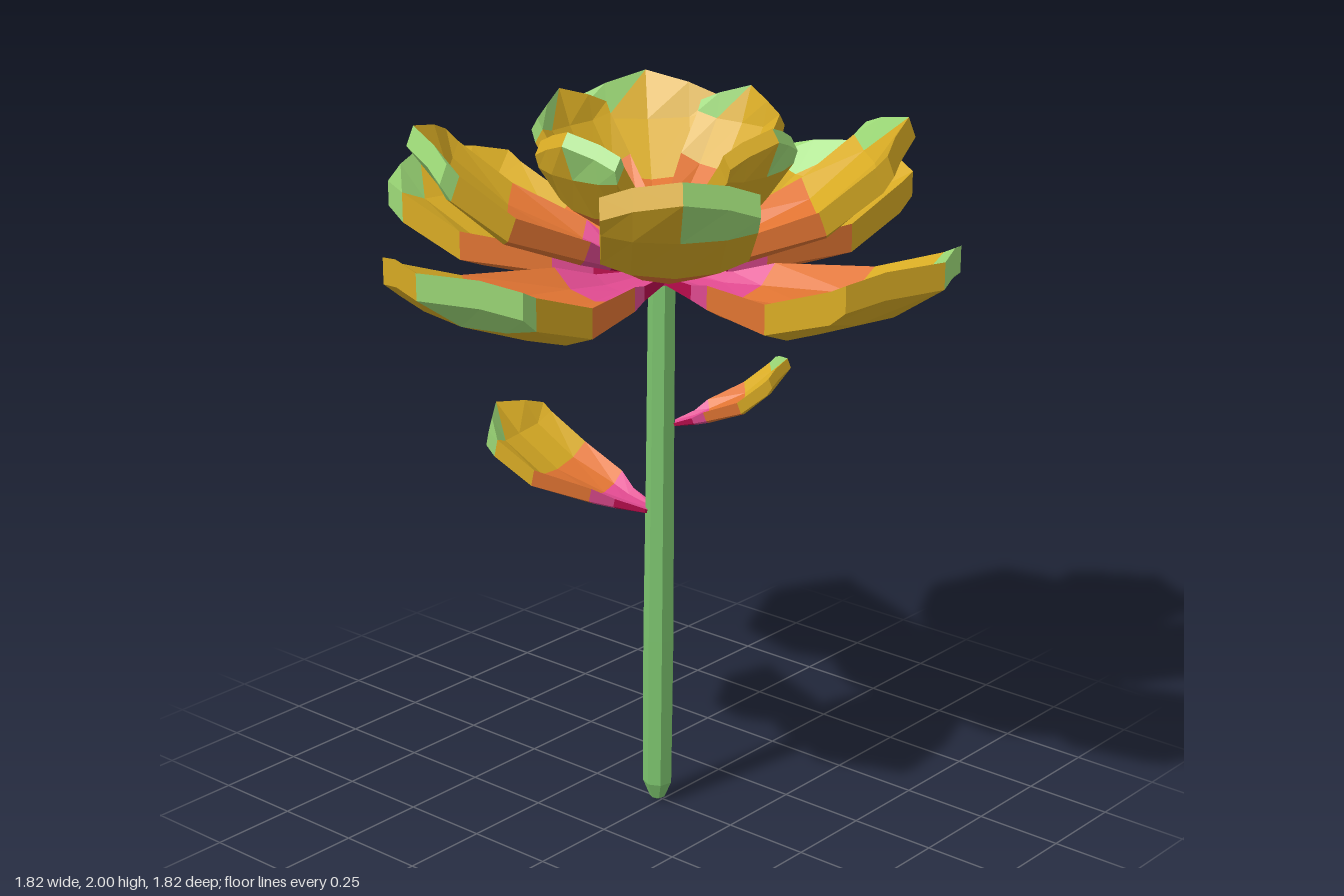
import * as THREE from 'three';

const paint = (name, color) => {
  const m = new THREE.MeshStandardMaterial({ color });
  m.name = name;
  return m;
};
const CRIMSON = 0, PINK = 1, ORANGE = 2, GOLD = 3, TIP = 4;

// Petal stations: z at edge, z at middle, half width, then heights of rim, floor, lower edge, keel
const STATIONS = [
  [0.03, 0.03, 0.04, 0.01, 0.0, -0.01, -0.02],
  [0.17, 0.17, 0.085, 0.02, -0.01, -0.02, -0.05],
  [0.27, 0.27, 0.14, 0.05, -0.015, -0.015, -0.06],
  [0.53, 0.53, 0.228, 0.07, 0.0, -0.01, -0.06],
  [0.74, 0.76, 0.236, 0.145, 0.095, 0.06, 0.03],
  [0.79, 0.91, 0.24, 0.17, 0.2, 0.1, 0.13],
];

// Ten-point ring: top middle, round the +x side to the keel, back up the -x side
function section([zEdge, zMid, w, rim, floor, low, keel]) {
  const point = (t, edgeY, midY, k) => [t * w, THREE.MathUtils.lerp(edgeY, midY, k), THREE.MathUtils.lerp(zMid, zEdge, t)];
  const half = [
    point(0, rim, floor, 1), point(0.6, rim, floor, 0.75), point(1, rim, floor, 0),
    point(1, low, keel, 0), point(0.6, low, keel, 0.7), point(0, low, keel, 1),
  ];
  const mirrored = half.slice(1, 5).reverse().map(([x, y, z]) => [-x, y, z]);
  return [...half, ...mirrored];
}

function petalGeometry() {
  const rings = STATIONS.map(section);
  const buckets = [[], [], [], [], []];
  const tri = (colour, ...pts) => buckets[colour].push(...pts.flat());
  const topBands = [PINK, PINK, ORANGE, GOLD, GOLD];
  const underBands = [CRIMSON, PINK, ORANGE, GOLD, GOLD];

  for (let k = 0; k < 5; k++) {
    for (let i = 0; i < 10; i++) {
      const j = (i + 1) % 10;
      const a = rings[k][i], b = rings[k][j], c = rings[k + 1][j], d = rings[k + 1][i];
      const isTop = i < 2 || i > 7;
      const base = (isTop ? topBands : underBands)[k];
      const green = k === 4 && i < 5; // one half of the tip is green
      tri(green && i > 0 ? TIP : base, a, d, b);
      tri(green ? TIP : base, d, c, b);
    }
  }
  // Blunt tip face, half green and half gold, and the closed base
  const end = rings[5], start = rings[0];
  [[0, 5, 4, 1, TIP], [1, 4, 3, 2, TIP], [9, 6, 5, 0, GOLD], [8, 7, 6, 9, GOLD]].forEach(([a, b, c, d, colour]) => {
    tri(colour, end[a], end[b], end[c]);
    tri(colour, end[a], end[c], end[d]);
    tri(CRIMSON, start[a], start[c], start[b]);
    tri(CRIMSON, start[a], start[d], start[c]);
  });

  const geometry = new THREE.BufferGeometry();
  geometry.setAttribute('position', new THREE.Float32BufferAttribute(buckets.flat(), 3));
  let first = 0;
  buckets.forEach((b, i) => {
    geometry.addGroup(first, b.length / 3, i);
    first += b.length / 3;
  });
  geometry.computeVertexNormals();
  return geometry;
}

const faceted = (geometry) => {
  const flat = geometry.toNonIndexed();
  flat.computeVertexNormals();
  return flat;
};

export function createModel() {
  const flower = new THREE.Group();
  flower.name = 'flower';
  const petalPaints = [
    paint('crimson', 0xb80c4c), paint('pink', 0xe04a90), paint('orange', 0xe07432),
    paint('gold', 0xd8ab24), paint('tipGreen', 0x9edb78),
  ];
  const stemGreen = paint('stemGreen', 0x7cc46e);
  const petal = petalGeometry();

  function addPetal(parent, name, scale, tilt, turn, position) {
    const mesh = new THREE.Mesh(petal, petalPaints);
    mesh.name = name;
    mesh.scale.setScalar(scale);
    mesh.rotation.set(-THREE.MathUtils.degToRad(tilt), turn, 0, 'YXZ');
    mesh.position.set(...position);
    parent.add(mesh);
  }

  // Three whorls of four petals: name, scale, tilt, first turn, height
  [
    ['outerPetal', 1, 0, 0, 1.55],
    ['middlePetal', 0.82, 19.5, Math.PI / 4, 1.56],
    ['innerPetal', 0.57, 34, 0, 1.615],
  ].forEach(([name, scale, tilt, turn, y]) => {
    const whorl = new THREE.Group();
    whorl.name = name + 's';
    for (let i = 0; i < 4; i++) addPetal(whorl, name, scale, tilt, turn + i * Math.PI / 2, [0, y, 0]);
    flower.add(whorl);
  });

  // Two leaves on the stem
  addPetal(flower, 'rightLeaf', 0.6, 12, -1.37, [-0.01, 0.88, 0.02]);
  addPetal(flower, 'leftLeaf', 0.4, 20, 2.15, [0.02, 1.13, -0.01]);

  // Stem with a pointed foot, leaning very slightly
  const profile = [[0, 0], [0.022, 0.012], [0.042, 0.06], [0.044, 0.5], [0.04, 1.0], [0.038, 1.56], [0, 1.56]];
  const stemShape = new THREE.LatheGeometry(profile.map(([r, y]) => new THREE.Vector2(r, y)), 7);
  const p = stemShape.attributes.position;
  for (let i = 0; i < p.count; i++) {
    const lean = 1 - p.getY(i) / 1.56;
    p.setX(i, p.getX(i) - 0.008 * lean - 0.003);
    p.setZ(i, p.getZ(i) + 0.012 * lean - 0.003);
  }
  const stem = new THREE.Mesh(faceted(stemShape), stemGreen);
  stem.name = 'stem';
  flower.add(stem);

  // Flower centre: pink cup, orange bud, gold cap
  [
    ['centreCup', 0.09, 0.05, 1.53, 1.61, PINK],
    ['centreBud', 0.07, 0.07, 1.6, 1.645, ORANGE],
    ['centreCap', 0.055, 0.062, 1.645, 1.653, GOLD],
  ].forEach(([name, top, bottom, y0, y1, colour]) => {
    const part = new THREE.Mesh(faceted(new THREE.CylinderGeometry(top, bottom, y1 - y0, 6)), petalPaints[colour]);
    part.name = name;
    part.position.y = (y0 + y1) / 2;
    flower.add(part);
  });

  return flower;
}
